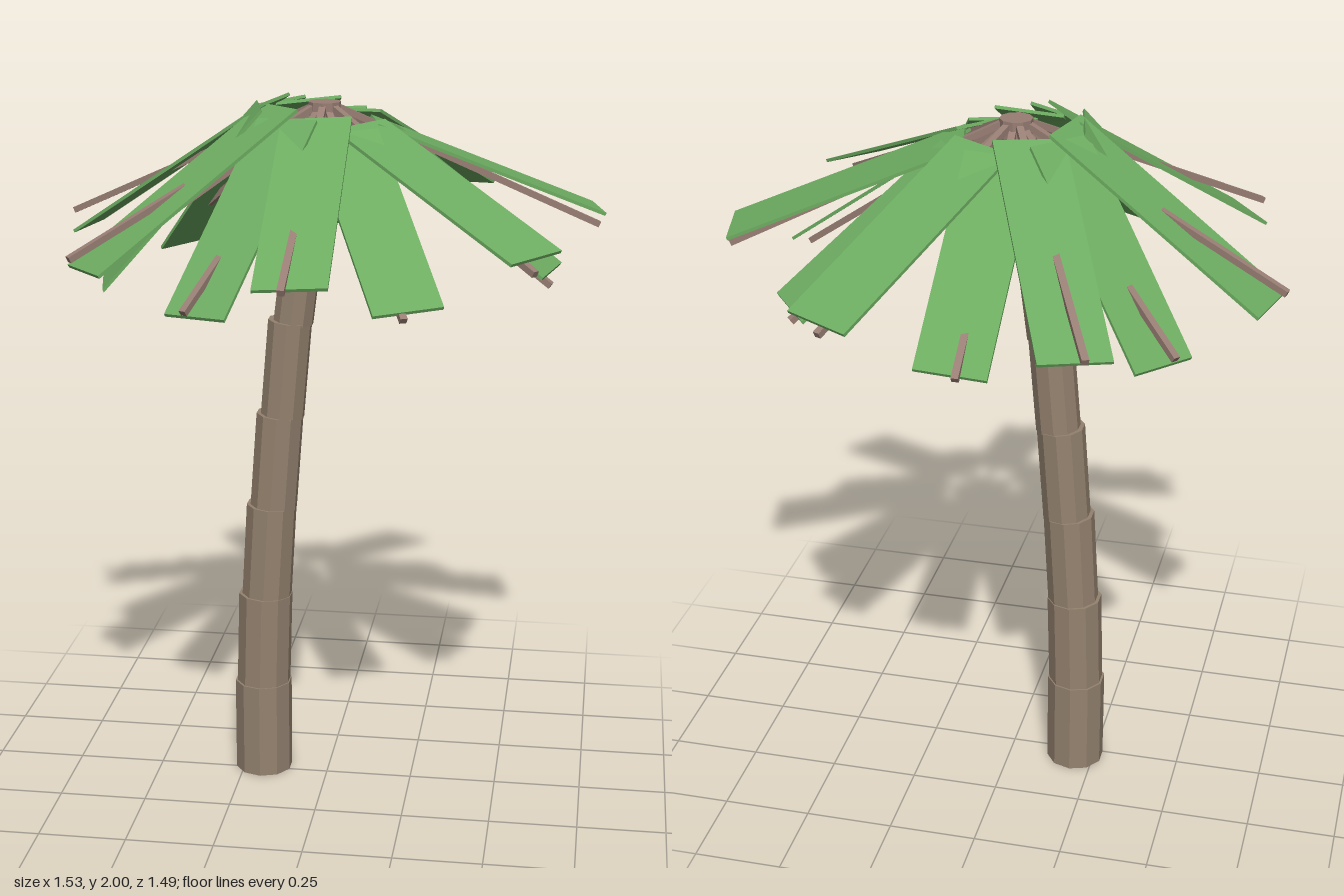
import * as THREE from 'three';

const mat = (name, color) => {
  const m = new THREE.MeshStandardMaterial({ color, flatShading: true });
  m.name = name;
  return m;
};

export function createModel() {
  const bark = mat('bark', 0x94826f);
  const leafGreen = mat('leaf green', 0x6dac61);
  const stemBrown = mat('stem brown', 0x987e74);
  const husk = mat('husk tan', 0x8f8060);

  const tree = new THREE.Group();
  tree.name = 'palmTree';
  const CX = -0.01, CZ = -0.025; // crown axis

  const add = (name, geometry, material, parent = tree) => {
    const m = new THREE.Mesh(geometry, material);
    m.name = name;
    parent.add(m);
    return m;
  };

  // trunk: stepped segments along a gentle bend, each leaning less than the bend itself
  const trunk = new THREE.Group();
  trunk.name = 'trunk';
  tree.add(trunk);
  const joints = [[-0.193, 0], [-0.193, 0.275], [-0.183, 0.55], [-0.162, 0.825], [-0.135, 1.1], [-0.104, 1.375], [-0.058, 1.65], [-0.008, 1.93]];
  const radii = [0.084, 0.079, 0.073, 0.068, 0.063, 0.057, 0.05];
  radii.forEach((r, i) => {
    const [x0, y0] = joints[i], [x1, y1] = joints[i + 1];
    const segment = add('trunkSegment', new THREE.CylinderGeometry(r, r, y1 - y0 + 0.006, 10), bark, trunk);
    segment.position.set((x0 + x1) / 2, (y0 + y1) / 2 + 0.003, CZ);
    segment.rotation.z = -0.75 * Math.atan2(x1 - x0, y1 - y0);
  });

  // crown hub: cap on a lobed husk
  const cap = add('crownCap', new THREE.CylinderGeometry(0.045, 0.045, 0.06, 10), stemBrown);
  cap.position.set(CX, 1.965, CZ);
  const plate = add('huskPlate', new THREE.CylinderGeometry(0.095, 0.095, 0.03, 14), husk);
  plate.position.set(CX, 1.885, CZ);
  for (let i = 0; i < 7; i++) {
    const a = (i + 0.5) * Math.PI * 2 / 7;
    const lobe = add('huskLobe', new THREE.CylinderGeometry(0.036, 0.036, 0.04, 8), husk);
    lobe.position.set(CX + Math.sin(a) * 0.09, 1.885, CZ + Math.cos(a) * 0.09);
  }

  // frond blade: a flat box laid between inner and outer edges; the whole ring leans slightly
  const blade = (angle, f) => {
    const g = new THREE.BoxGeometry(1, 1, 1);
    const p = g.attributes.position;
    const s = Math.sin(angle), c = Math.cos(angle);
    const inner = f.y0 - 0.2 * s * f.r0, outer = f.y1 + 0.06 * s * f.r1;
    for (let i = 0; i < p.count; i++) {
      const across = p.getX(i) * 0.19, t = p.getZ(i) + 0.5, h = p.getY(i) * 0.008;
      const r = THREE.MathUtils.lerp(f.r0, f.r1, t) + h * 0.5;
      p.setXYZ(i,
        s * r + c * across + THREE.MathUtils.lerp(-0.012, 0.008, t),
        THREE.MathUtils.lerp(inner, outer, t) + 0.06 * c * across + h,
        c * r - s * across + CZ);
    }
    g.computeVertexNormals();
    return g;
  };

  // two rings of seven fronds, the lower ring turned half a step
  const rings = [
    { name: 'upper', turn: 0, r0: 0.138, y0: 1.967, r1: 0.748, y1: 1.645, stemY: 1.983, tipR: 0.77, tipY: 1.643 },
    { name: 'lower', turn: Math.PI, r0: 0.175, y0: 1.95, r1: 0.63, y1: 1.538, stemY: 1.97, tipR: 0.648, tipY: 1.537 },
  ];
  for (const f of rings) {
    const ring = new THREE.Group();
    ring.name = f.name + 'Fronds';
    tree.add(ring);
    for (let i = 0; i < 7; i++) {
      const a = f.turn + i * Math.PI * 2 / 7;
      add('frondBlade', blade(a, f), leafGreen, ring);

      // square stem from the cap to just past the blade's end
      const at = (r, y) => new THREE.Vector3(CX + Math.sin(a) * r, y, CZ + Math.cos(a) * r);
      const start = at(0.03, f.stemY), tip = at(f.tipR, f.tipY);
      const stem = add('frondStem', new THREE.BoxGeometry(0.019, 0.017, start.distanceTo(tip)), stemBrown, ring);
      stem.position.copy(start).lerp(tip, 0.5);
      stem.lookAt(tip);
    }
  }
  return tree;
}
